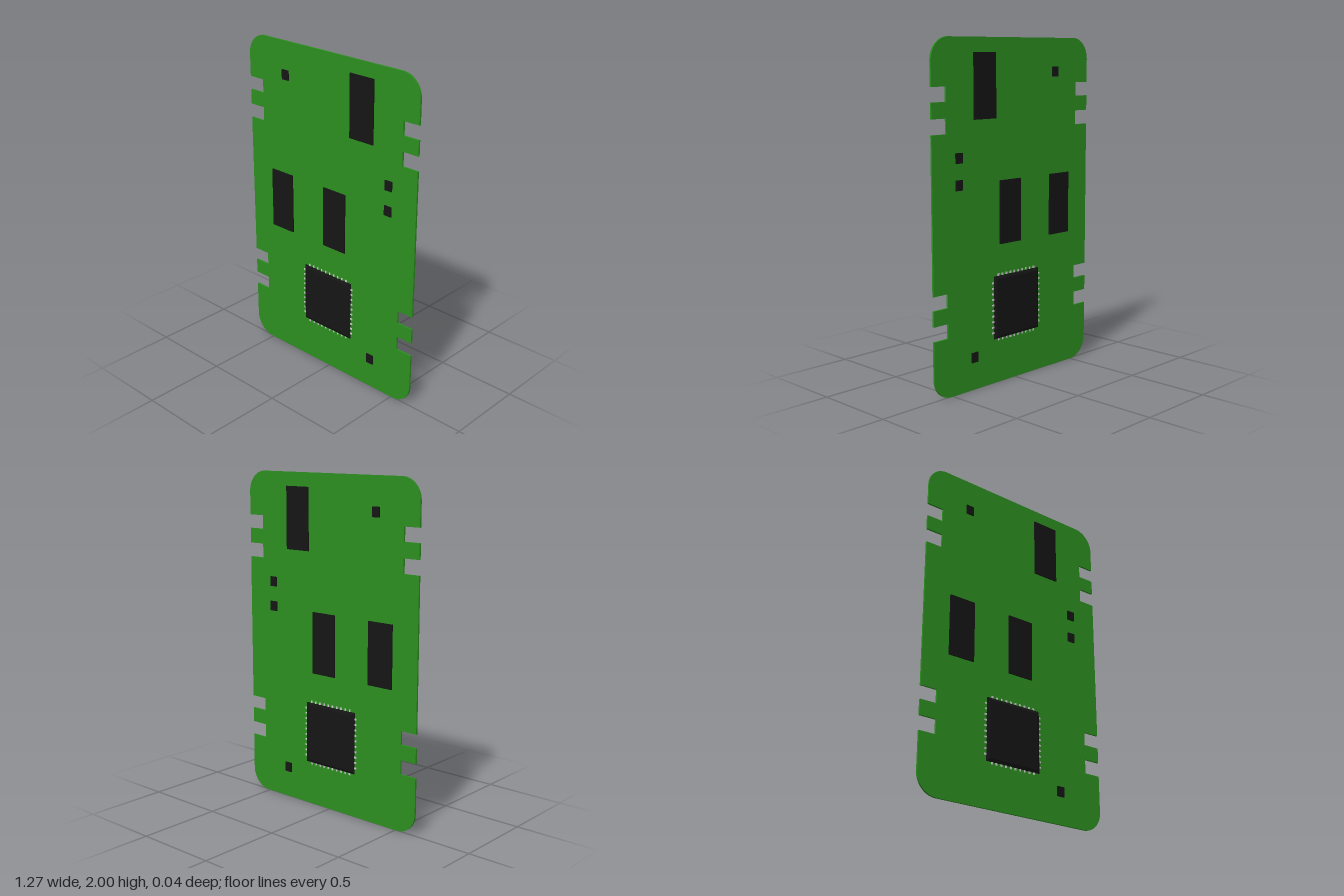
import * as THREE from 'three';

const green = new THREE.MeshStandardMaterial({ color: 0x2c9020 });
const black = new THREE.MeshStandardMaterial({ color: 0x151515 });
const grey = new THREE.MeshStandardMaterial({ color: 0xcccccc });

function add(parent, name, geometry, material, x = 0, y = 0, z = 0) {
  const mesh = new THREE.Mesh(geometry, material);
  mesh.name = name;
  mesh.position.set(x, y, z);
  parent.add(mesh);
  return mesh;
}

// Rounded plate with four square notches in each long edge
function boardGeometry() {
  const w = 0.637, inner = 0.532, r = 0.125, t = 0.011;
  const notches = [[0.342, 0.427], [0.517, 0.597], [1.479, 1.564], [1.653, 1.735]];
  const s = new THREE.Shape();
  s.moveTo(-w + r, 0);
  s.lineTo(w - r, 0);
  s.absarc(w - r, r, r, -Math.PI / 2, 0);
  for (const [a, b] of notches) {
    s.lineTo(w, a); s.lineTo(inner, a); s.lineTo(inner, b); s.lineTo(w, b);
  }
  s.absarc(w - r, 2 - r, r, 0, Math.PI / 2);
  s.absarc(-w + r, 2 - r, r, Math.PI / 2, Math.PI);
  for (const [a, b] of [...notches].reverse()) {
    s.lineTo(-w, b); s.lineTo(-inner, b); s.lineTo(-inner, a); s.lineTo(-w, a);
  }
  s.absarc(-w + r, r, r, Math.PI, Math.PI * 1.5);
  return new THREE.ExtrudeGeometry(s, { depth: t, bevelEnabled: false, curveSegments: 10 })
    .translate(0, 0, -t / 2);
}

// Square package with both faces chamfered around the rim
function processorGeometry(size) {
  const c = 0.016, h = size / 2 - c;
  const s = new THREE.Shape([[-h, -h], [h, -h], [h, h], [-h, h]].map(p => new THREE.Vector2(...p)));
  const depth = 0.02, bevel = 0.008;
  return new THREE.ExtrudeGeometry(s, {
    depth, bevelEnabled: true, bevelThickness: bevel, bevelSize: c, bevelSegments: 1,
  }).translate(0, 0, -depth / 2);
}

export function createModel() {
  const model = new THREE.Group();
  model.name = 'circuitBoard';
  add(model, 'board', boardGeometry(), green);

  // Memory chips, showing on both faces
  const chip = new THREE.BoxGeometry(0.17, 0.37, 0.026);
  for (const [x, y] of [[0.243, 1.733], [-0.38, 1.008], [0.041, 1.008]])
    add(model, 'memoryChip', chip, black, x, y);

  // Small components
  const small = new THREE.BoxGeometry(0.05, 0.058, 0.026);
  for (const [x, y] of [[-0.341, 1.802], [0.443, 1.343], [0.443, 1.193], [0.332, 0.192]])
    add(model, 'smallComponent', small, black, x, y);

  // Processor with a row of pins along each side
  const processor = new THREE.Group();
  processor.name = 'processor';
  processor.position.set(-0.011, 0.452, 0);
  model.add(processor);
  add(processor, 'processorBody', processorGeometry(0.372), black);
  const pin = new THREE.BoxGeometry(0.01, 0.03, 0.018);
  for (let side = 0; side < 4; side++) {
    const row = new THREE.Group();
    row.name = 'pinRow';
    row.rotation.z = side * Math.PI / 2;
    for (let i = 0; i < 10; i++) add(row, 'pin', pin, grey, (i - 4.5) * 0.033, 0.185);
    processor.add(row);
  }
  return model;
}
